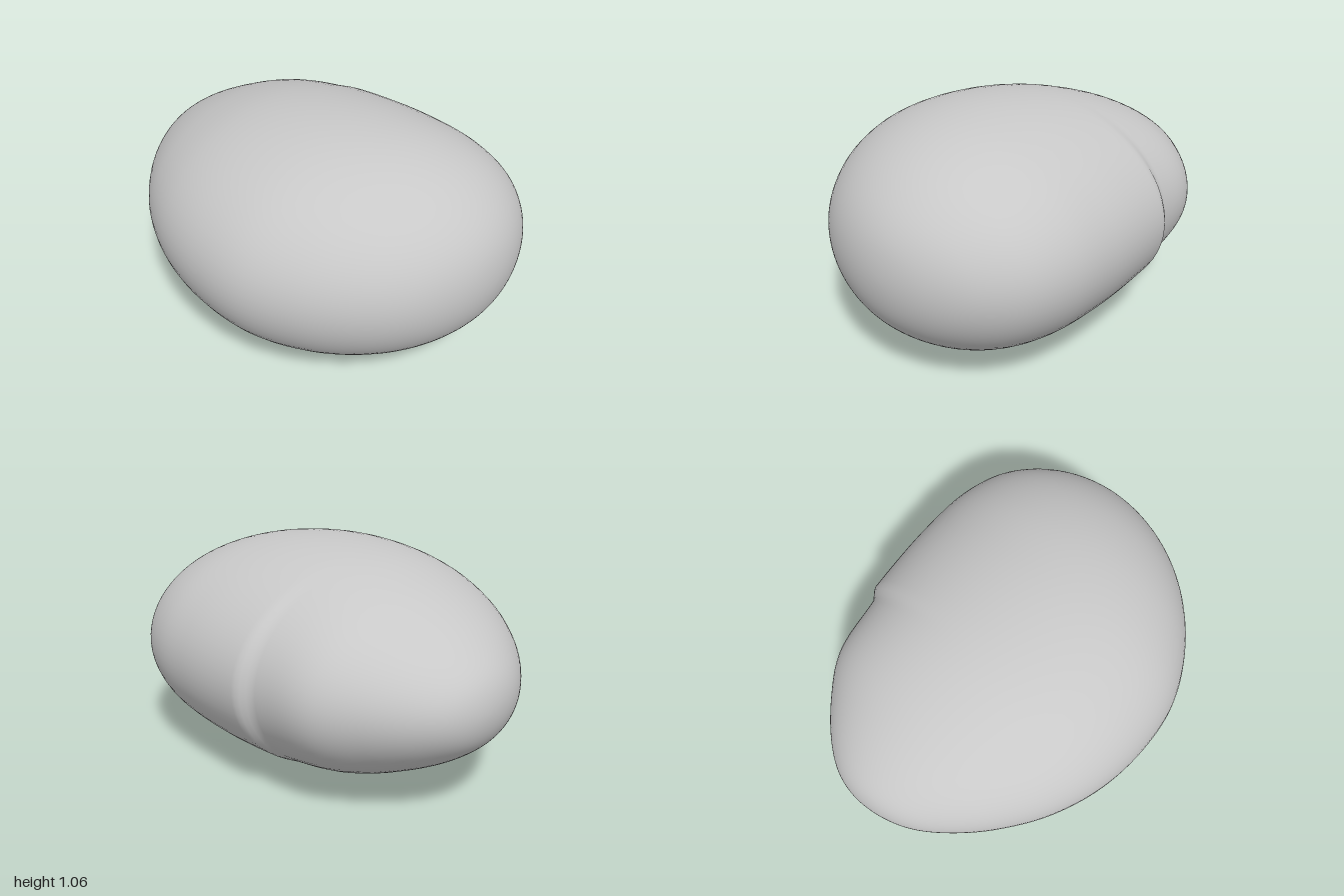
import * as THREE from 'three';
import { mergeVertices } from 'three/addons/utils/BufferGeometryUtils.js';

const CENTRE_Y = 0.53;

// Sections from back to front, at z = -cos(k * 15 degrees): [right-hand edge -x, left-hand edge +x, half height]
const SECTIONS = [
  [0.11, 0.11, 0], [-0.09, 0.28, 0.13], [-0.27, 0.425, 0.235], [-0.45, 0.565, 0.335],
  [-0.61, 0.7, 0.425], [-0.72, 0.752, 0.493], [-0.77, 0.768, 0.527], [-0.76, 0.768, 0.529],
  [-0.67, 0.745, 0.497], [-0.525, 0.67, 0.425], [-0.34, 0.525, 0.315], [-0.12, 0.33, 0.175],
  [0.11, 0.11, 0],
];

// Depth of the dent on the +x side: a sharp step at its front, fading out towards the back
function dentDepth(z) {
  const { smoothstep } = THREE.MathUtils;
  return 0.038 * smoothstep(-z, 0.15, 0.22) * (1 - smoothstep(-z, 0.22, 0.72));
}

function beanGeometry() {
  const profile = new THREE.CatmullRomCurve3(
    SECTIONS.map((s) => new THREE.Vector3(...s)), false, 'catmullrom', 0.5);

  // Sphere with its poles on z, reshaped ring by ring into elliptical sections
  const sphere = new THREE.SphereGeometry(1, 72, 144).rotateX(Math.PI / 2);
  sphere.deleteAttribute('uv');
  sphere.deleteAttribute('normal');
  const geometry = mergeVertices(sphere, 1e-5);
  const pos = geometry.attributes.position;
  const section = new THREE.Vector3();

  for (let i = 0; i < pos.count; i++) {
    const z = THREE.MathUtils.clamp(pos.getZ(i), -1, 1);
    const angle = Math.atan2(pos.getY(i), pos.getX(i));
    profile.getPoint(Math.acos(-z) / Math.PI, section);
    const c = Math.cos(angle);
    const middle = (section.x + section.y) / 2;
    const halfWidth = (section.y - section.x) / 2;
    const x = middle + halfWidth * c - dentDepth(z) * Math.max(0, c) ** 2;
    pos.setXYZ(i, x, CENTRE_Y + section.z * Math.sin(angle), z);
  }
  geometry.computeVertexNormals();
  return geometry;
}

export function createModel() {
  const group = new THREE.Group();
  group.name = 'bean';
  const grey = new THREE.MeshStandardMaterial({ color: 0xc8c8c8 });
  grey.name = 'light grey';
  const body = new THREE.Mesh(beanGeometry(), grey);
  body.name = 'beanBody';
  group.add(body);
  return group;
}
